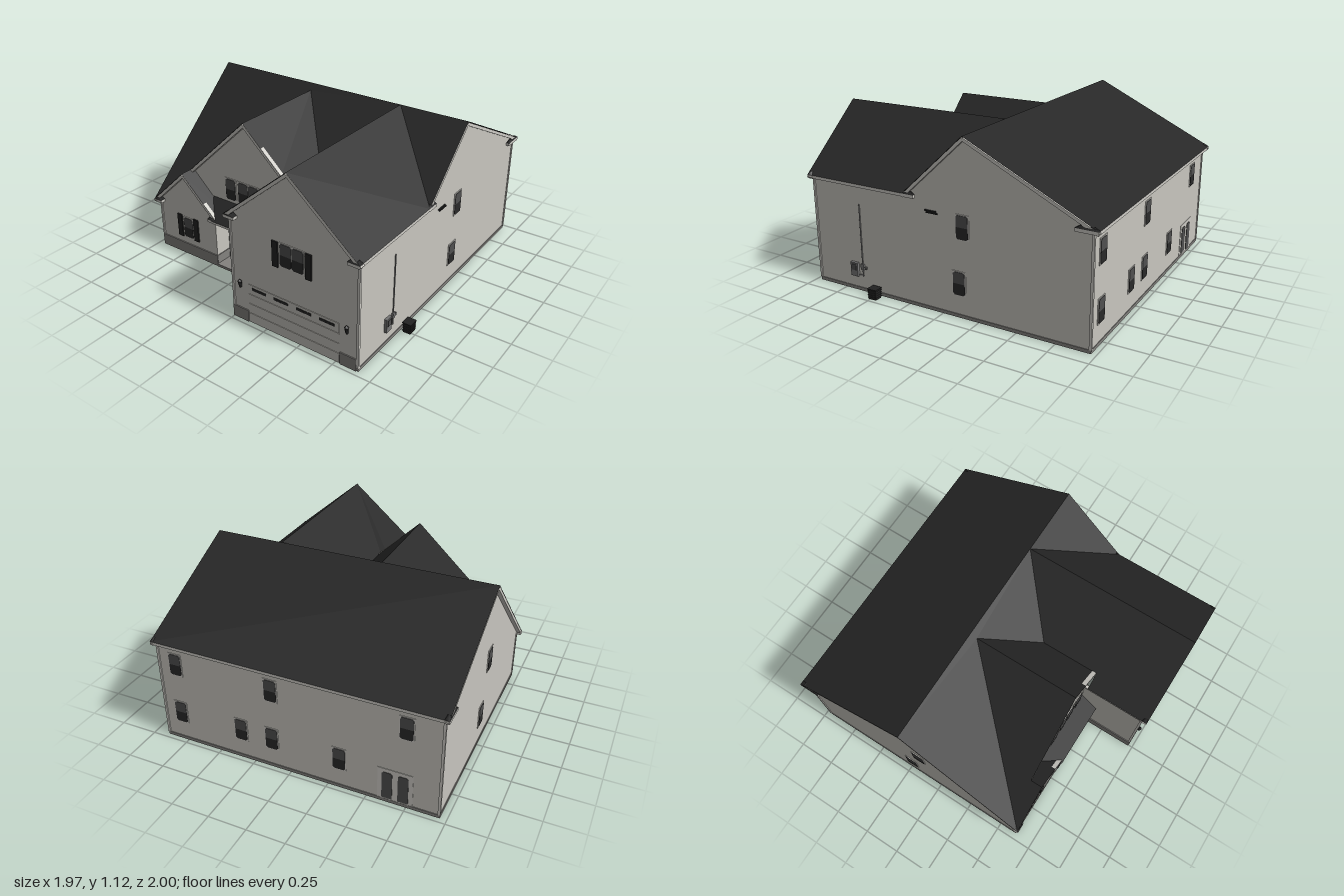
import * as THREE from 'three';

const mat = (name, color) => {
  const m = new THREE.MeshStandardMaterial({ color, side: THREE.DoubleSide });
  m.name = name;
  return m;
};

export function createModel() {
  const house = new THREE.Group();
  house.name = 'house';
  const siding = mat('siding', 0xc8c6bf);
  const trim = mat('trim', 0xcfcdc7);
  const shingle = mat('shingle', 0x272727);
  const stone = mat('stone', 0x84827f);
  const upperGlass = mat('upperGlass', 0x505050);
  const lowerGlass = mat('lowerGlass', 0x2a2a2a);
  const black = mat('blackPaint', 0x222222);
  const metal = mat('metal', 0x777777);

  const add = (name, geo, material, parent = house) => {
    const mesh = new THREE.Mesh(geo, material);
    mesh.name = name;
    parent.add(mesh);
    return mesh;
  };
  // box given by its min and max along each axis
  const box = (name, x0, x1, y0, y1, z0, z1, material, parent = house) => {
    const mesh = add(name, new THREE.BoxGeometry(x1 - x0, y1 - y0, z1 - z0), material, parent);
    mesh.position.set((x0 + x1) / 2, (y0 + y1) / 2, (z0 + z1) / 2);
    return mesh;
  };
  // flat polygon, fanned from its first corner
  const poly = (name, pts, material) => {
    const v = [];
    for (let i = 1; i < pts.length - 1; i++) v.push(...pts[0], ...pts[i], ...pts[i + 1]);
    const g = new THREE.BufferGeometry();
    g.setAttribute('position', new THREE.Float32BufferAttribute(v, 3));
    g.computeVertexNormals();
    return add(name, g, material);
  };
  const wallZ = (name, z, pts) => poly(name, pts.map(([x, y]) => [x, y, z]), siding);
  const wallX = (name, x, pts) => poly(name, pts.map(([z, y]) => [x, y, z]), siding);

  // Walls
  wallZ('backWall', -0.965, [[-0.955, 0], [-0.955, 0.72], [0.9, 0.72], [0.9, 0]]);
  wallX('leftWall', -0.955, [[-0.965, 0], [0.62, 0], [0.62, 0.385], [-0.17, 1.11], [-0.965, 0.73]]);
  wallX('rightWall', 0.9, [[-0.965, 0], [0.965, 0], [0.965, 0.73], [0.25, 0.73], [-0.17, 1.11], [-0.965, 0.73]]);
  wallZ('wingFront', 0.965, [[0, 0], [0.9, 0], [0.9, 0.73], [0.45, 1.11], [0, 0.73]]);
  wallX('wingInnerWall', 0, [[0.5, 0], [0.965, 0], [0.965, 0.73], [0.5, 0.73]]);
  wallZ('gableWall', 0.54, [[-0.72, 0.36], [0.07, 0.36], [0.07, 0.8], [-0.22, 1.075], [-0.72, 0.61]]);
  wallZ('smallGableWall', 0.62, [[-0.955, 0], [-0.455, 0], [-0.455, 0.39], [-0.7, 0.625], [-0.955, 0.385]]);
  wallZ('entryWall', 0.5, [[-0.455, 0], [0, 0], [0, 0.36], [-0.455, 0.36]]);
  wallX('entrySideWall', -0.455, [[0.5, 0], [0.62, 0], [0.62, 0.38], [0.5, 0.38]]);

  // Roof corners
  const ridgeL = [-0.985, 1.12, -0.17], ridgeR = [0.92, 1.12, -0.17], ridgeC = [0.45, 1.12, -0.17];
  const peak = [-0.22, 1.083, -0.13], peakF = [-0.22, 1.083, 0.57];
  const valley = [0.07, 0.8, 0.18], valleyF = [0.07, 0.805, 0.57];
  const leftEave = [-0.985, 0.367, 0.65], rightEave = [0.92, 0.72, 0.26];
  const smallF = [-0.7, 0.634, 0.65], smallB = [-0.7, 0.634, 0.54];
  const wingF = [0.45, 1.12, 1];

  // Roof slopes
  poly('backRoof', [ridgeL, ridgeR, [0.92, 0.72, -1], [-0.985, 0.72, -1]], shingle);
  poly('frontRoof', [peak, leftEave, ridgeL, ridgeC, valley], shingle);
  poly('frontRoofRight', [ridgeC, rightEave, ridgeR], shingle);
  poly('gableRoofLeft', [[-0.7, 0.634, 0.57], peakF, peak, leftEave, smallF], shingle);
  poly('gableRoofRight', [peak, peakF, valleyF, valley], shingle);
  poly('wingRoofLeft', [wingF, ridgeC, valley, valleyF, [-0.02, 0.72, 0.57], [-0.02, 0.72, 1]], shingle);
  poly('wingRoofRight', [wingF, [0.92, 0.72, 1], rightEave, ridgeC], shingle);
  poly('smallRoofRight', [smallF, smallB, [-0.43, 0.375, 0.54], [-0.43, 0.375, 0.65]], shingle);
  poly('porchRoof', [[-0.53, 0.477, 0.54], [0, 0.477, 0.54], [0, 0.365, 0.66], [-0.45, 0.365, 0.66]], shingle);

  // Sloping rake boards under the roof edges
  const rake = (a, b, depth) => {
    const A = new THREE.Vector3(...a), B = new THREE.Vector3(...b);
    const alongX = Math.abs(A.x - B.x) > 0.001;
    const len = A.distanceTo(B), h = 0.02;
    const g = alongX ? new THREE.BoxGeometry(len, h, depth) : new THREE.BoxGeometry(depth, h, len);
    const m = add('rakeBoard', g, trim);
    m.position.copy(A).add(B).multiplyScalar(0.5);
    m.position.y -= 0.017;
    if (alongX) m.rotation.z = Math.atan((B.y - A.y) / (B.x - A.x));
    else m.rotation.x = -Math.atan((B.y - A.y) / (B.z - A.z));
  };
  rake([-0.02, 0.72, 0.98], [0.45, 1.12, 0.98], 0.035);
  rake([0.45, 1.12, 0.98], [0.92, 0.72, 0.98], 0.035);
  rake([-0.7, 0.634, 0.555], [-0.22, 1.083, 0.555], 0.028);
  rake([-0.22, 1.083, 0.555], [0.07, 0.812, 0.555], 0.028);
  rake([-0.985, 0.367, 0.635], [-0.7, 0.634, 0.635], 0.028);
  rake([-0.7, 0.634, 0.635], [-0.43, 0.38, 0.635], 0.028);
  rake([0.91, 0.72, -1], [0.91, 1.12, -0.17], 0.018);
  rake([0.91, 1.12, -0.17], [0.91, 0.72, 0.26], 0.018);
  rake([-0.97, 0.72, -1], [-0.97, 1.12, -0.17], 0.028);
  rake([-0.97, 1.12, -0.17], [-0.97, 0.367, 0.65], 0.028);

  // Level eaves
  box('backEave', -0.985, 0.92, 0.7, 0.72, -1, -0.965, trim);
  box('wingRightEave', 0.9, 0.92, 0.7, 0.72, 0.24, 1, trim);
  box('wingLeftEave', -0.02, 0, 0.7, 0.72, 0.54, 1, trim);
  box('porchBeam', -0.455, 0, 0.345, 0.365, 0.62, 0.655, trim);
  box('porchCeiling', -0.455, 0, 0.355, 0.36, 0.5, 0.63, trim);

  // Cornice returns with little hipped caps
  const cornice = (x0, x1, y, z0, z1) => {
    box('corniceReturn', x0, x1, y - 0.02, y, z0, z1, trim);
    const cap = add('corniceCap', new THREE.CylinderGeometry(0.4, Math.SQRT1_2, 1, 4).rotateY(Math.PI / 4), shingle);
    cap.scale.set(x1 - x0, 0.018, z1 - z0);
    cap.position.set((x0 + x1) / 2, y + 0.009, (z0 + z1) / 2);
  };
  cornice(-0.02, 0.06, 0.72, 0.965, 1);
  cornice(0.84, 0.92, 0.72, 0.965, 1);
  cornice(-0.985, -0.92, 0.367, 0.62, 0.655);
  cornice(-0.49, -0.43, 0.367, 0.62, 0.655);
  cornice(0.9, 0.922, 0.72, 0.18, 0.26);
  cornice(0.9, 0.922, 0.72, -1, -0.86);
  cornice(-0.987, -0.955, 0.72, -1, -0.86);

  // Foundation band, stone wainscot, porch slab
  box('backFoundation', -0.957, 0.902, 0, 0.022, -0.969, -0.965, stone);
  box('rightFoundation', 0.9, 0.904, 0, 0.022, -0.967, 0.967, stone);
  box('leftFoundation', -0.959, -0.955, 0, 0.022, -0.967, 0.622, stone);
  for (const [x0, x1, z] of [[-0.957, -0.453, 0.62], [-0.455, -0.31, 0.5], [-0.14, 0, 0.5], [0, 0.115, 0.965], [0.78, 0.89, 0.965]])
    box('stoneWainscot', x0, x1, 0, 0.082, z, z + 0.007, stone);
  box('stoneWainscot', -0.455, -0.449, 0, 0.082, 0.5, 0.625, stone);
  box('stoneWainscot', -0.006, 0, 0, 0.082, 0.5, 0.97, stone);
  box('porchSlab', -0.455, 0, 0.001, 0.02, 0.5, 0.63, stone);

  // Corner boards
  for (const [x, z, h] of [[0.898, 0.963, 0.7], [0.898, -0.963, 0.7], [-0.953, -0.963, 0.7], [-0.953, 0.618, 0.36], [0.004, 0.963, 0.7]])
    box('cornerBoard', x - 0.008, x + 0.008, 0.022, h, z - 0.008, z + 0.008, trim);

  // Two-sash window facing +z before turning
  const sash = (w, h) => {
    const s = new THREE.Shape(), c = 0.01, a = w / 2;
    s.moveTo(-a, 0).lineTo(a, 0).lineTo(a, h - c).lineTo(a - c, h).lineTo(c - a, h).lineTo(-a, h - c);
    return new THREE.ExtrudeGeometry(s, { depth: 0.003, bevelEnabled: false });
  };
  const windowAt = (x, y, z, turn = 0, w = 0.08, h = 0.146) => {
    const g = new THREE.Group();
    g.name = 'window';
    box('windowFrame', -w / 2 - 0.006, w / 2 + 0.006, -h / 2 - 0.006, h / 2 + 0.006, 0, 0.004, trim, g);
    add('upperSash', sash(w, h / 2), upperGlass, g).position.z = 0.004;
    const low = add('lowerSash', sash(w, h / 2), lowerGlass, g);
    low.rotation.z = Math.PI;
    low.position.z = 0.004;
    g.position.set(x, y, z);
    g.rotation.y = turn;
    house.add(g);
  };
  for (const x of [-0.37, -0.265, -0.18, -0.075]) windowAt(x, 0.573, 0.54);
  for (const x of [0.41, 0.495]) windowAt(x, 0.573, 0.965);
  windowAt(-0.705, 0.21, 0.62);
  for (const [x, y] of [[0.78, 0.57], [0.78, 0.215], [0.116, 0.57], [0.34, 0.215], [0.125, 0.215], [-0.325, 0.215], [-0.74, 0.57]])
    windowAt(x, y, -0.965, Math.PI);
  windowAt(0.9, 0.575, -0.147, Math.PI / 2);
  windowAt(0.9, 0.22, -0.118, Math.PI / 2);
  windowAt(-0.955, 0.58, -0.12, -Math.PI / 2);
  windowAt(-0.955, 0.22, -0.22, -Math.PI / 2);

  // Shutters
  for (const [x, y, z] of [[0.335, 0.565, 0.965], [0.568, 0.565, 0.965], [-0.78, 0.213, 0.62], [-0.635, 0.213, 0.62]])
    box('shutter', x - 0.021, x + 0.021, y - 0.084, y + 0.084, z, z + 0.009, black);

  // Front door with sidelights
  box('doorFrame', -0.308, -0.142, 0.02, 0.27, 0.5, 0.504, trim);
  box('frontDoor', -0.268, -0.177, 0.022, 0.262, 0.504, 0.51, black);
  box('doorGlass', -0.25, -0.195, 0.15, 0.245, 0.51, 0.512, lowerGlass);
  for (const x of [-0.29, -0.155])
    for (let i = 0; i < 5; i++) box('sidelight', x - 0.007, x + 0.007, 0.045 + i * 0.042, 0.08 + i * 0.042, 0.504, 0.508, upperGlass);

  // Back double doors
  box('backDoorFrame', -0.79, -0.57, 0.022, 0.245, -0.968, -0.965, trim);
  for (const x of [-0.63, -0.73]) {
    const d = add('backDoorGlass', sash(0.065, 0.19), upperGlass);
    d.rotation.y = Math.PI;
    d.position.set(x, 0.03, -0.968);
  }

  // Garage door with a row of lights
  for (let i = 0; i < 4; i++) box('garagePanel', 0.122, 0.773, 0.002 + i * 0.069, 0.068 + i * 0.069, 0.965, 0.968, siding);
  for (const x of [0.205, 0.365, 0.53, 0.69])
    for (let i = 0; i < 4; i++) box('garageLight', x - 0.052 + i * 0.0265, x - 0.028 + i * 0.0265, 0.242, 0.259, 0.968, 0.971, lowerGlass);

  // Wall lamps
  for (const x of [0.065, 0.83]) {
    const lamp = add('wallLamp', new THREE.CylinderGeometry(0.013, 0.005, 0.04, 6), black);
    lamp.position.set(x, 0.262, 0.98);
    add('lampCap', new THREE.ConeGeometry(0.014, 0.014, 6), black).position.set(x, 0.289, 0.98);
    box('lampBracket', x - 0.004, x + 0.004, 0.235, 0.27, 0.965, 0.98, black);
  }

  // Utilities on the right wall
  box('meterBox', 0.9, 0.918, 0.098, 0.19, 0.64, 0.695, metal);
  box('meterFace', 0.918, 0.922, 0.14, 0.18, 0.65, 0.685, upperGlass);
  box('junctionBox', 0.9, 0.913, 0.15, 0.188, 0.595, 0.618, metal);
  box('smallValve', 0.9, 0.91, 0.155, 0.172, 0.575, 0.588, metal);
  box('lowerPipe', 0.9, 0.906, 0.106, 0.112, 0.605, 0.64, metal);
  const pipe = add('servicePipe', new THREE.CylinderGeometry(0.004, 0.004, 0.48, 8), metal);
  pipe.position.set(0.905, 0.345, 0.606);
  for (let i = 0; i < 2; i++) box('wallVent', 0.9, 0.908, 0.624 + i * 0.011, 0.632 + i * 0.011, 0.02 + i * 0.01, 0.1 + i * 0.01, black);

  // Air conditioner
  box('airConditioner', 0.925, 0.975, 0, 0.064, 0.457, 0.515, black);
  box('airConditionerTop', 0.92, 0.98, 0.064, 0.07, 0.452, 0.52, metal).material = black;
  for (let i = 0; i < 4; i++) box('coolingSlat', 0.922, 0.978, 0.01 + i * 0.014, 0.015 + i * 0.014, 0.454, 0.518, lowerGlass);

  return house;
}
